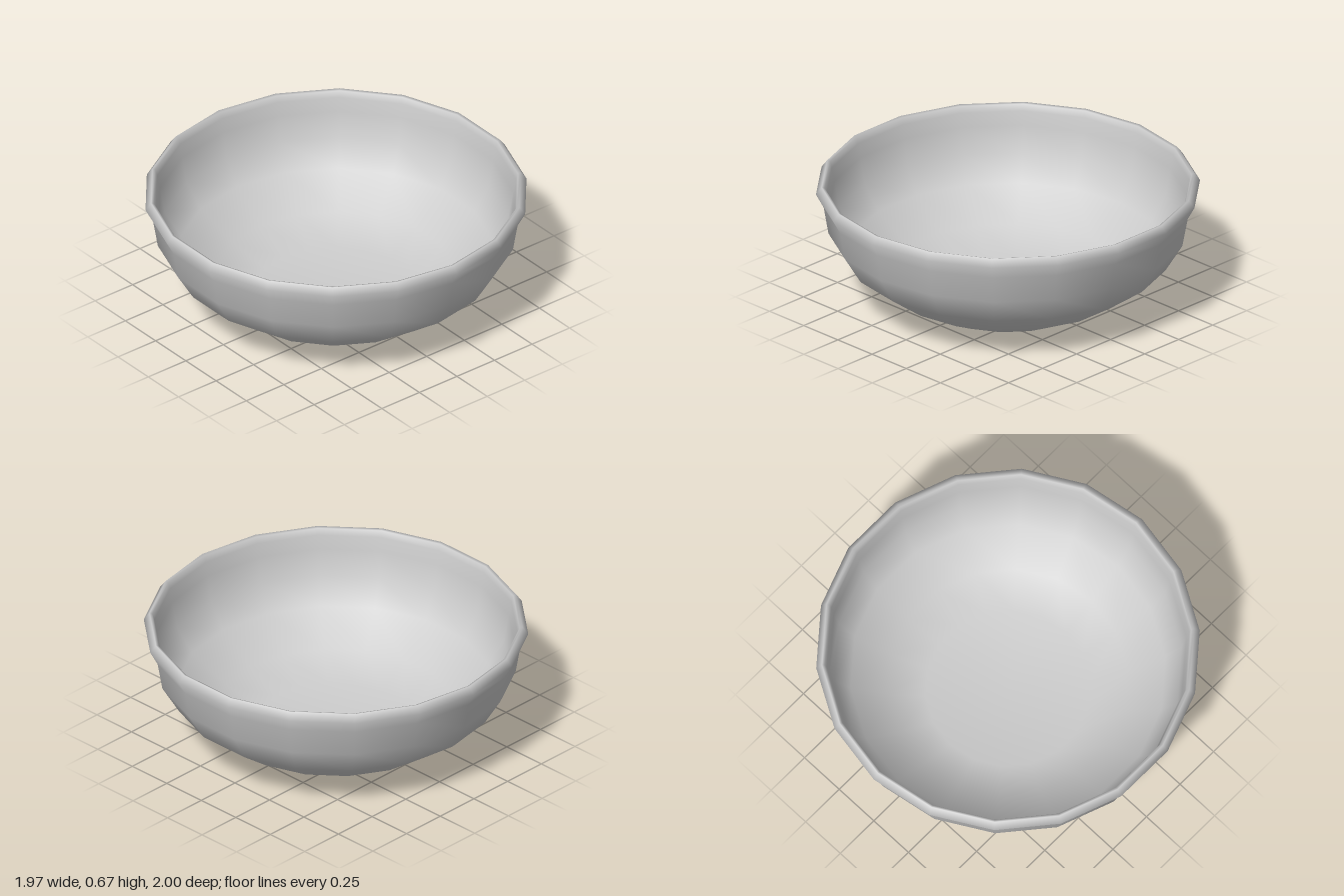
import * as THREE from 'three';

// Round 18-sided bowl with a flared rim, turned from one closed profile
export function createModel() {
  const group = new THREE.Group();
  group.name = 'bowl';
  const material = new THREE.MeshStandardMaterial({ color: 0xcccccc });

  const outside = [
    [0, 0], [0.44, 0], [0.64, 0.1], [0.845, 0.25], [0.935, 0.4], [0.96, 0.55],
  ];
  const rim = [[1, 0.625], [0.97, 0.665], [0.955, 0.66], [0.945, 0.625]];
  const inside = [
    [0.93, 0.55], [0.905, 0.405], [0.82, 0.27], [0.625, 0.125], [0.43, 0.03], [0, 0.03],
  ];
  const profile = [...outside, ...rim, ...inside].map(([r, y]) => new THREE.Vector2(r, y));

  const shell = new THREE.Mesh(new THREE.LatheGeometry(profile, 18), material);
  shell.name = 'bowlShell';
  group.add(shell);
  return group;
}
